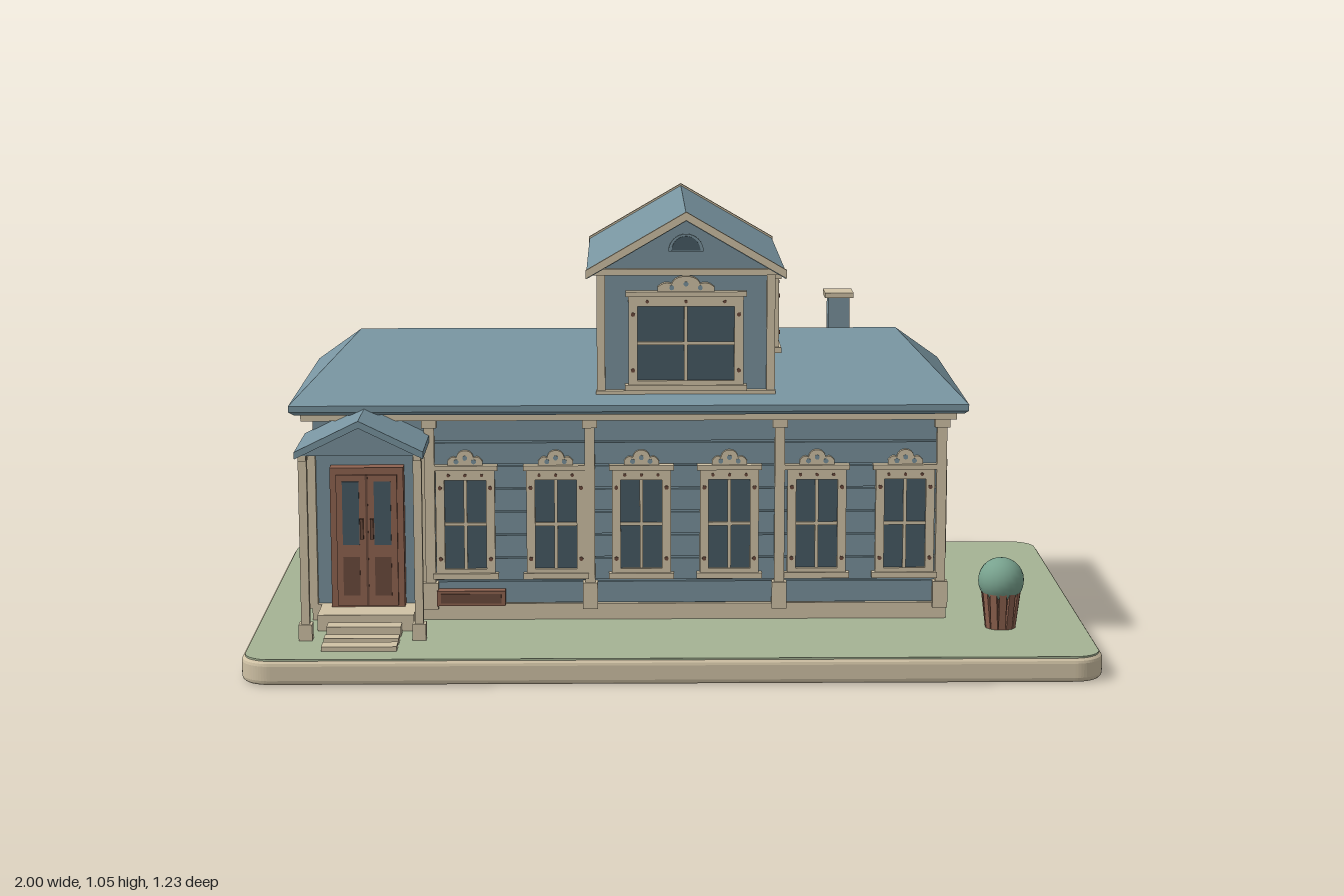
import * as THREE from 'three';
import { ConvexGeometry } from 'three/addons/geometries/ConvexGeometry.js';

const paint = (name, color) => Object.assign(new THREE.MeshStandardMaterial({ color }), { name });

export function createModel() {
  const wall = paint('blue wall', 0x78919b);
  const roof = paint('blue roof', 0x7894a0);
  const trim = paint('cream trim', 0xd0c2a5);
  const glass = paint('dark glass', 0x465a64);
  const wood = paint('brown wood', 0x8f6350);
  const stud = paint('dark brown', 0x6b4a3c);
  const grass = paint('grass', 0xa5b394);
  const leaf = paint('leaf green', 0x78a28e);

  const model = new THREE.Group();
  model.name = 'house';

  const add = (parent, name, geo, mat, x = 0, y = 0, z = 0) => {
    const m = new THREE.Mesh(geo, mat);
    m.name = name;
    m.position.set(x, y, z);
    parent.add(m);
    return m;
  };
  // Box given by its limits on each axis
  const block = (parent, name, mat, x0, x1, y0, y1, z0, z1) =>
    add(parent, name, new THREE.BoxGeometry(x1 - x0, y1 - y0, z1 - z0), mat, (x0 + x1) / 2, (y0 + y1) / 2, (z0 + z1) / 2);
  const group = (name) => {
    const g = new THREE.Group();
    g.name = name;
    model.add(g);
    return g;
  };
  const polygon = (pts) => new THREE.Shape(pts.map(([x, y]) => new THREE.Vector2(x, y)));
  const extrude = (shape, depth) => new THREE.ExtrudeGeometry(shape, { depth, bevelEnabled: false, curveSegments: 12 });
  const disc = (r, depth) => new THREE.CylinderGeometry(r, r, depth, 10).rotateX(Math.PI / 2);

  // Ground slab with rounded corners
  const rounded = (w, d, r) => {
    const s = new THREE.Shape();
    s.moveTo(w - r, -d);
    s.absarc(w - r, -d + r, r, -Math.PI / 2, 0);
    s.absarc(w - r, d - r, r, 0, Math.PI / 2);
    s.absarc(-w + r, d - r, r, Math.PI / 2, Math.PI);
    s.absarc(-w + r, -d + r, r, Math.PI, Math.PI * 1.5);
    return s;
  };
  const slab = new THREE.ExtrudeGeometry(rounded(0.988, 0.603, 0.06), {
    depth: 0.034, bevelThickness: 0.012, bevelSize: 0.012, bevelSegments: 3, curveSegments: 8,
  }).rotateX(-Math.PI / 2);
  add(model, 'groundSlab', slab, trim, 0, 0.012, 0);
  add(model, 'lawn', extrude(rounded(0.992, 0.607, 0.064), 0.005).rotateX(-Math.PI / 2), grass, 0, 0.056, 0);

  // Main walls, plinth and cornice
  const X0 = -0.86, X1 = 0.66, Z0 = -0.4, Z1 = 0.225;
  block(model, 'walls', wall, X0, X1, 0.09, 0.58, Z0, Z1);
  block(model, 'plinth', trim, X0 - 0.008, X1 + 0.008, 0.06, 0.1, Z0 - 0.005, Z1 + 0.012);
  block(model, 'cornice', trim, X0 - 0.025, X1 + 0.025, 0.555, 0.577, Z0 - 0.015, Z1 + 0.035);

  // Horizontal siding on front and back
  for (let i = 0; i < 8; i++) {
    const y = 0.102 + i * 0.057;
    block(model, 'frontBoard', wall, -0.575, X1, y, y + 0.052, Z1 - 0.002, Z1 + 0.007);
    block(model, 'backBoard', wall, -0.585, X1, y, y + 0.052, Z0 - 0.006, Z0 + 0.002);
  }

  // Hipped main roof
  const hip = [];
  for (const z of [-0.433, 0.292]) for (const x of [-0.91, 0.71]) {
    hip.push(new THREE.Vector3(x, 0.582, z), new THREE.Vector3(x, 0.597, z));
    hip.push(new THREE.Vector3(x * 0.985, 0.574, z * 0.98));
  }
  hip.push(new THREE.Vector3(-0.765, 0.73, -0.07), new THREE.Vector3(0.565, 0.73, -0.07));
  add(model, 'mainRoof', new ConvexGeometry(hip), roof);

  // Pilasters along the front
  for (const x of [-0.58, -0.195, 0.262, 0.652]) {
    block(model, 'pilaster', trim, x - 0.012, x + 0.012, 0.09, 0.56, Z1, Z1 + 0.022);
    block(model, 'pilasterBase', trim, x - 0.018, x + 0.018, 0.09, 0.155, Z1, Z1 + 0.028);
    block(model, 'pilasterCap', trim, x - 0.018, x + 0.018, 0.535, 0.56, Z1, Z1 + 0.028);
  }

  // Window facing +z: origin at the bottom middle of its frame, on the wall
  function makeWindow(name, w, h, side, { fancy = false, crown = 0 } = {}) {
    const g = group(name);
    const a = w / 2 - side, top = fancy ? 0.036 : side, low = fancy ? 0.02 : side;
    const frame = polygon([[-w / 2, 0], [w / 2, 0], [w / 2, h], [-w / 2, h]]);
    frame.holes.push(polygon([[-a, low], [-a, h - top], [a, h - top], [a, low]]));
    add(g, 'frame', extrude(frame, 0.02), trim);
    block(g, 'pane', glass, -a, a, low, h - top, 0.003, 0.01);
    block(g, 'verticalBar', trim, -0.004, 0.004, low, h - top, 0.006, 0.015);
    const mid = (low + h - top) / 2;
    block(g, 'crossBar', trim, -a, a, mid - 0.004, mid + 0.004, 0.006, 0.015);
    if (fancy) {
      block(g, 'sill', trim, -w / 2 - 0.008, w / 2 + 0.008, -0.004, 0.01, 0, 0.026);
      block(g, 'header', trim, -w / 2 - 0.007, w / 2 + 0.007, h - 0.012, h, 0, 0.025);
      for (const s of [-1, 1]) for (const y of [0.045, h - 0.055])
        add(g, 'stud', disc(0.005, 0.006), stud, s * (w / 2 - side / 2), y, 0.02);
      for (const s of [-1, 0, 1]) add(g, 'headerStud', disc(0.004, 0.006), stud, s * a * 0.8, h - 0.024, 0.02);
    }
    if (crown) {
      // Scalloped crest above the header
      const c = new THREE.Shape();
      c.moveTo(crown, 0);
      c.lineTo(crown, 0.012);
      c.quadraticCurveTo(crown * 0.75, 0.028, crown * 0.5, 0.02);
      c.quadraticCurveTo(crown * 0.4, 0.038, 0, 0.038);
      c.quadraticCurveTo(-crown * 0.4, 0.038, -crown * 0.5, 0.02);
      c.quadraticCurveTo(-crown * 0.75, 0.028, -crown, 0.012);
      c.lineTo(-crown, 0);
      add(g, 'crest', extrude(c, 0.018), trim, 0, h - 0.002, 0);
      for (const s of [-1, 0, 1]) add(g, 'crestDot', disc(0.006, 0.006), wall, s * crown * 0.5, h + (s ? 0.009 : 0.018), 0.017);
    }
    return g;
  }
  const place = (g, x, y, z, turn = 0) => {
    g.position.set(x, y, z);
    g.rotation.y = turn;
  };

  for (const x of [-0.495, -0.277, -0.071, 0.141, 0.352, 0.565])
    place(makeWindow('frontWindow', 0.142, 0.275, 0.021, { fancy: true, crown: 0.042 }), x, 0.168, Z1);
  for (const x of [0.56, 0.35, 0.07, -0.22, -0.49])
    place(makeWindow('backWindow', 0.128, 0.235, 0.014), x, 0.195, Z0, Math.PI);
  for (const z of [0.05, -0.222]) {
    place(makeWindow('leftWindow', 0.128, 0.235, 0.014), X1, 0.195, z, Math.PI / 2);
    place(makeWindow('rightWindow', 0.128, 0.235, 0.014), X0, 0.195, z, -Math.PI / 2);
  }

  // Upper storey
  const cx = 0.036, D0 = -0.4, D1 = 0.222;
  const gable = (half, low, high) => polygon([[-half, low], [half, low], [0, high]]);
  const chevron = (half, low, high, t) =>
    polygon([[-half, low - t], [0, high - t], [half, low - t], [half, low], [0, high], [-half, low]]);
  block(model, 'upperWalls', wall, cx - 0.208, cx + 0.208, 0.58, 0.915, D0, D1);
  add(model, 'upperGable', extrude(gable(0.208, 0.91, 1.035), D1 - D0 + 0.02), wall, cx, 0, D0 - 0.01);
  add(model, 'upperRoof', extrude(chevron(0.237, 0.912, 1.05, 0.018), 0.675), roof, cx, 0, -0.425);
  for (const [z, back] of [[0.25, false], [-0.437, true]]) {
    add(model, 'bargeBoard', extrude(chevron(0.239, 0.916, 1.055, 0.02), 0.014), trim, cx, 0, z);
    const za = back ? D0 - 0.022 : D1, zb = back ? D0 : D1 + 0.022;
    block(model, 'gableCornice', trim, cx - 0.225, cx + 0.225, 0.902, 0.917, za, zb);
    for (const s of [-1, 1]) {
      const x = cx + s * 0.203;
      block(model, 'cornerBoard', trim, x - 0.01, x + 0.01, 0.6, 0.905, back ? D0 - 0.01 : D1, back ? D0 : D1 + 0.014);
    }
  }
  block(model, 'upperSillBoard', trim, cx - 0.215, cx + 0.215, 0.605, 0.624, D1, D1 + 0.02);
  // Half-round attic light
  const halfRound = (r) => new THREE.Shape().absarc(0, 0, r, 0, Math.PI);
  add(model, 'atticFrame', extrude(halfRound(0.042), 0.006), wall, cx, 0.958, D1 + 0.01);
  add(model, 'atticLight', extrude(halfRound(0.034), 0.009), glass, cx, 0.961, D1 + 0.01);

  place(makeWindow('upperFrontWindow', 0.275, 0.235, 0.022, { fancy: true, crown: 0.068 }), cx, 0.628, D1);
  place(makeWindow('upperBackWindow', 0.275, 0.235, 0.022, { fancy: true }), cx, 0.64, D0, Math.PI);
  for (const z of [0.047, -0.238])
    place(makeWindow('upperSideWindow', 0.145, 0.19, 0.022, { fancy: true }), cx + 0.208, 0.7, z, Math.PI / 2);

  // Chimney
  block(model, 'chimney', wall, 0.403, 0.457, 0.62, 0.795, -0.213, -0.157);
  block(model, 'chimneyCap', trim, 0.394, 0.466, 0.793, 0.806, -0.226, -0.146);

  // Porch
  const px = -0.73;
  add(model, 'porchRoof', extrude(chevron(0.15, 0.517, 0.59, 0.017), 0.245), roof, px, 0, 0.21);
  add(model, 'porchGable', extrude(gable(0.138, 0.505, 0.573), 0.012), wall, px, 0, 0.425);
  for (const s of [-1, 1]) {
    const x = px + s * 0.134;
    block(model, 'porchBeam', trim, x - 0.009, x + 0.009, 0.492, 0.506, 0.22, 0.437);
    block(model, 'porchPost', trim, x - 0.01, x + 0.01, 0.06, 0.5, 0.412, 0.432);
    block(model, 'porchPostBase', trim, x - 0.016, x + 0.016, 0.06, 0.1, 0.406, 0.438);
    const brace = add(model, 'porchBrace', new THREE.BoxGeometry(0.012, 0.08, 0.01), trim, x, 0.472, 0.39);
    brace.rotation.x = -0.78;
    block(model, 'porchWallPost', trim, x - 0.01, x + 0.01, 0.09, 0.5, Z1, Z1 + 0.014);
  }

  // Front steps
  [[0.49, 0.536, 0.072], [0.436, 0.475, 0.076], [0.36, 0.405, 0.086], [0.22, 0.345, 0.1]].forEach(([z0, z1, y], i) => {
    const half = i === 3 ? 0.115 : 0.088;
    block(model, 'step', trim, px - half, px + half, 0.058, y, z0, z1);
  });

  // Double door
  block(model, 'doorFrame', wood, px - 0.088, px + 0.088, 0.1, 0.442, Z1, 0.262);
  for (const s of [-1, 1]) {
    const x = px + s * 0.038;
    block(model, 'doorLeaf', wood, x - 0.035, x + 0.035, 0.105, 0.425, 0.26, 0.27);
    block(model, 'doorGlass', glass, x - 0.02, x + 0.02, 0.255, 0.41, 0.266, 0.273);
    block(model, 'doorPanel', stud, x - 0.02, x + 0.02, 0.13, 0.225, 0.266, 0.272);
    block(model, 'doorHandle', stud, px + s * 0.012 - 0.004, px + s * 0.012 + 0.004, 0.27, 0.32, 0.268, 0.28);
  }
  block(model, 'doorSeam', stud, px - 0.003, px + 0.003, 0.105, 0.425, 0.262, 0.271);

  // Plain plaque beside the porch
  block(model, 'plaque', wood, -0.565, -0.4, 0.1, 0.137, Z1, 0.26);
  block(model, 'plaqueFace', stud, -0.555, -0.41, 0.107, 0.13, 0.256, 0.262);

  // Slatted tub with a clipped bush
  add(model, 'tub', new THREE.CylinderGeometry(0.043, 0.03, 0.105, 12), stud, 0.79, 0.112, 0.325);
  for (let i = 0; i < 12; i++) {
    const pivot = group('tubSlat');
    pivot.position.set(0.79, 0.112, 0.325);
    pivot.rotation.y = (i * Math.PI) / 6;
    const slat = add(pivot, 'slat', new THREE.BoxGeometry(0.017, 0.108, 0.006), wood, 0, 0, 0.039);
    slat.rotation.x = 0.124;
  }
  add(model, 'bush', new THREE.SphereGeometry(0.055, 20, 14), leaf, 0.79, 0.176, 0.325);

  return model;
}
